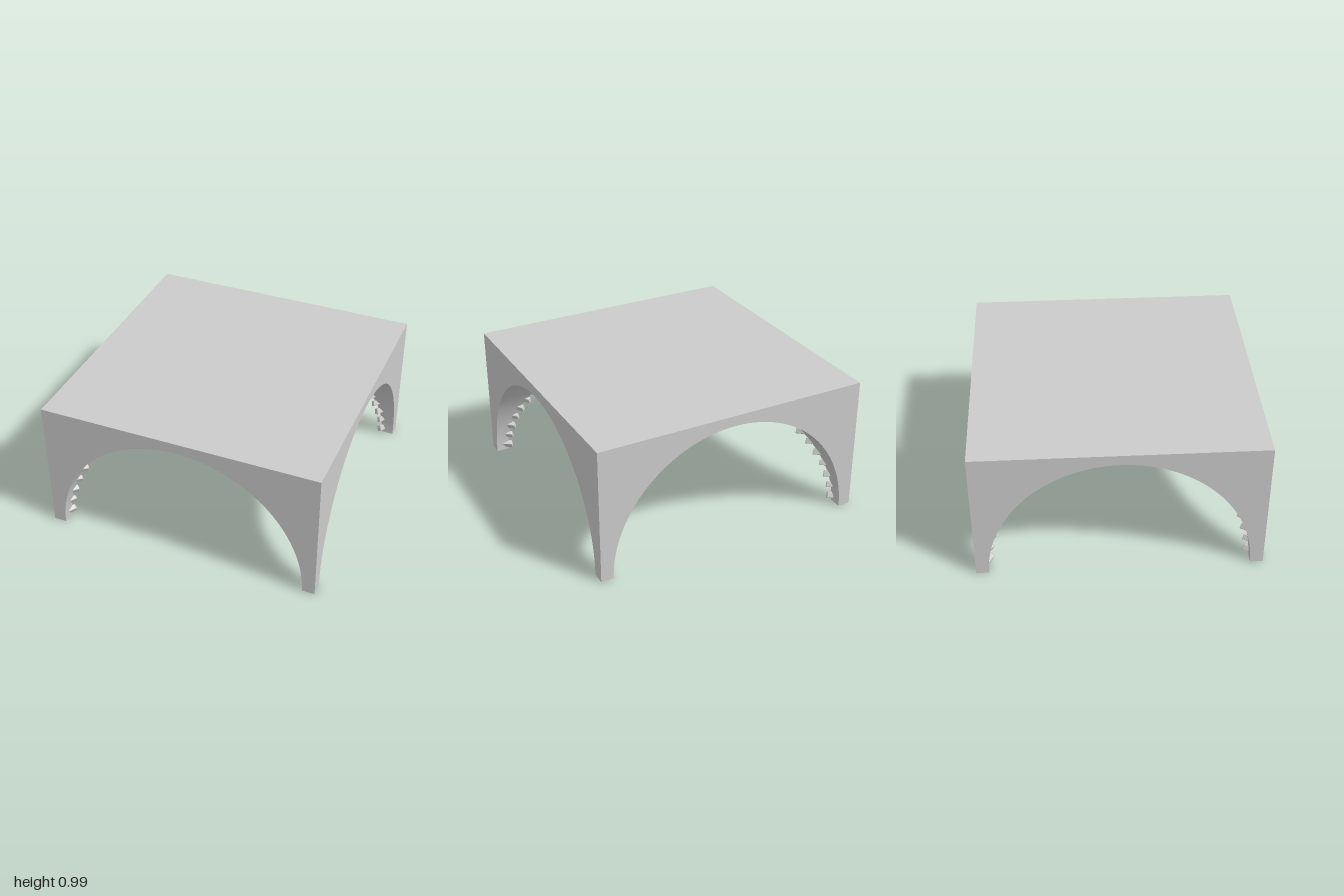
import * as THREE from 'three';
import { RoundedBoxGeometry } from 'three/addons/geometries/RoundedBoxGeometry.js';

const R = 0.91;      // barrel radius
const H = 0.985;     // overall height
const SEG = 48;      // facets per arch
const STONES = 16;   // stones per half rib

const material = new THREE.MeshStandardMaterial({ color: 0xcccccc });

function add(parent, name, geometry) {
  const mesh = new THREE.Mesh(geometry, material);
  mesh.name = name;
  parent.add(mesh);
  return mesh;
}

// Outer wall with a round arch cut out of it
function wallGeometry() {
  const s = new THREE.Shape();
  s.moveTo(-1, 0);
  s.lineTo(-R, 0);
  s.absarc(0, 0, R, Math.PI, 0, true);
  s.lineTo(1, 0);
  s.lineTo(1, H);
  s.lineTo(-1, H);
  return new THREE.ShapeGeometry(s, SEG / 2).translate(0, 0, 1);
}

// One quarter of the groin vault: a barrel running from the diagonals to the wall
function webGeometry() {
  const pos = [], nor = [], index = [];
  for (let i = 0; i <= SEG; i++) {
    const a = (i / SEG - 0.5) * Math.PI;
    const sx = Math.sin(a), cy = Math.cos(a);
    for (const z of [Math.abs(R * sx), 1]) {
      pos.push(R * sx, R * cy, z);
      nor.push(-sx, -cy, 0);
    }
    if (i < SEG) {
      const k = i * 2;
      index.push(k, k + 2, k + 1, k + 1, k + 2, k + 3);
    }
  }
  const g = new THREE.BufferGeometry();
  g.setAttribute('position', new THREE.Float32BufferAttribute(pos, 3));
  g.setAttribute('normal', new THREE.Float32BufferAttribute(nor, 3));
  g.setIndex(index);
  return g;
}

// Half a diagonal rib: straight stones following the elliptical groin line
function createRib() {
  const rib = new THREE.Group();
  rib.name = 'rib';
  const side = new THREE.Vector3(1, 0, -1).normalize();
  const point = (t) => new THREE.Vector3(R * Math.sin(t), R * Math.cos(t), R * Math.sin(t));
  const step = Math.PI / 2 / STONES;

  const addBlock = (name, t0, t1, width, drop, gap, radius) => {
    const a = point(t0), b = point(t1);
    const along = b.clone().sub(a);
    const length = along.length() - gap;
    along.normalize();
    const inward = new THREE.Vector3().crossVectors(along, side).normalize();
    if (inward.y > 0) inward.negate();
    const across = new THREE.Vector3().crossVectors(inward, along);
    const back = 0.03;
    const stone = add(rib, name, new RoundedBoxGeometry(length, drop + back, width, 2, radius));
    stone.quaternion.setFromRotationMatrix(new THREE.Matrix4().makeBasis(along, inward, across));
    stone.position.copy(a).add(b).multiplyScalar(0.5).addScaledVector(inward, (drop - back) / 2);
  };

  for (let i = 0; i < STONES; i++) {
    const t = i * step;
    const large = i % 2;
    addBlock('ribStone', t, t + step, large ? 0.044 : 0.038, large ? 0.019 : 0.015, 0.006, 0.006);
    // mortar bed behind the stones
    addBlock('ribCore', t, t + step, 0.03, 0.008, 0, 0.002);
  }
  return rib;
}

export function createModel() {
  const model = new THREE.Group();
  model.name = 'groinVault';

  add(model, 'roof', new THREE.PlaneGeometry(2, 2).rotateX(-Math.PI / 2).translate(0, H, 0));

  // Four identical sides, each with its wall, web, pier foot and rib
  const wall = wallGeometry(), web = webGeometry();
  const pier = 1 - R, mid = (1 + R) / 2;
  const foot = new THREE.PlaneGeometry(pier, pier).rotateX(Math.PI / 2).translate(mid, 0, mid);
  for (let i = 0; i < 4; i++) {
    const bay = new THREE.Group();
    bay.name = 'bay';
    bay.rotation.y = i * Math.PI / 2;
    add(bay, 'archWall', wall);
    add(bay, 'vaultWeb', web);
    add(bay, 'pierFoot', foot);
    bay.add(createRib());
    model.add(bay);
  }

  // Stepped boss where the ribs cross
  const rings = [[0.075, 0.888, 0.92], [0.066, 0.872, 0.888], [0.058, 0.856, 0.872], [0.046, 0.842, 0.856], [0.03, 0.832, 0.842]];
  const boss = new THREE.Group();
  boss.name = 'boss';
  for (const [r, y0, y1] of rings) {
    const c = 0.004;
    const profile = [[0, y0], [r - c, y0], [r, y0 + c], [r, y1 - c], [r - c, y1], [0, y1]];
    const ring = new THREE.LatheGeometry(profile.map(([x, y]) => new THREE.Vector2(x, y)), 32);
    add(boss, 'bossRing', ring);
  }
  model.add(boss);
  return model;
}
